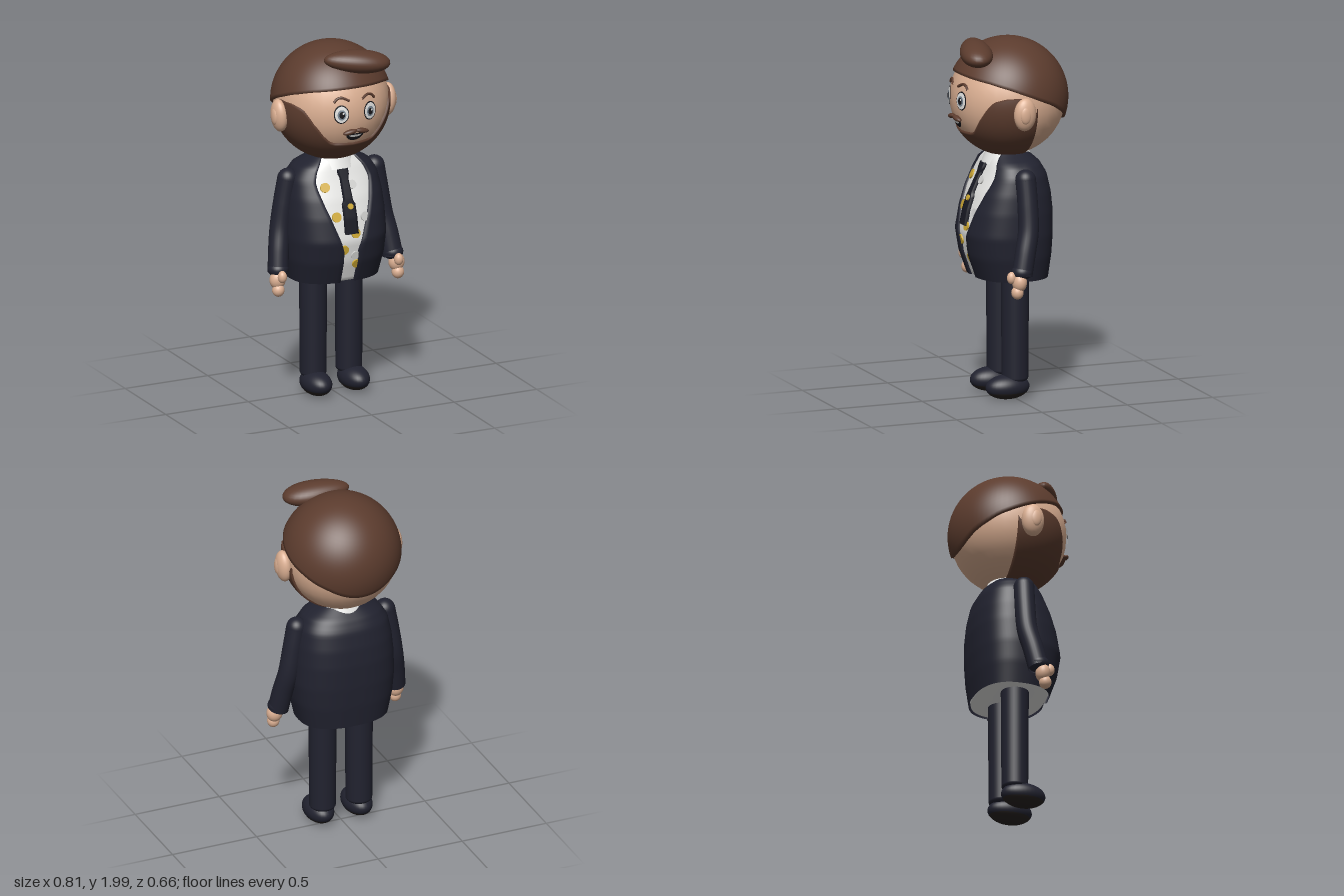
import * as THREE from 'three';
import { mergeVertices } from 'three/addons/utils/BufferGeometryUtils.js';

const paint = (name, color, side = THREE.FrontSide) => {
  const m = new THREE.MeshStandardMaterial({ color, side });
  m.name = name;
  return m;
};

// Linear look-up in a table of [key, value, value...] rows with rising keys
function lookUp(table, key) {
  let i = 1;
  while (i < table.length - 1 && key > table[i][0]) i++;
  const a = table[i - 1], b = table[i];
  const t = THREE.MathUtils.clamp((key - a[0]) / (b[0] - a[0]), 0, 1);
  return a.slice(1).map((v, k) => v + (b[k + 1] - v) * t);
}

// Surface from a function of row and column
function grid(rows, cols, fn) {
  const pos = [], index = [];
  for (let i = 0; i <= rows; i++) for (let j = 0; j <= cols; j++) pos.push(...fn(i, j));
  for (let i = 0; i < rows; i++) for (let j = 0; j < cols; j++) {
    const a = i * (cols + 1) + j, b = a + cols + 1;
    index.push(a, b, a + 1, b, b + 1, a + 1);
  }
  let g = new THREE.BufferGeometry();
  g.setAttribute('position', new THREE.Float32BufferAttribute(pos, 3));
  g.setIndex(index);
  g = mergeVertices(g, 1e-5);
  g.computeVertexNormals();
  return g;
}

// Torso sections: y, half width, front depth, back depth
const TORSO = [[0.675, 0.255, 0.205, 0.2], [0.8, 0.28, 0.25, 0.215], [0.92, 0.29, 0.27, 0.222],
  [1.05, 0.285, 0.245, 0.222], [1.15, 0.275, 0.212, 0.212], [1.25, 0.255, 0.165, 0.19],
  [1.31, 0.215, 0.14, 0.155], [1.36, 0.12, 0.115, 0.1]];
// Half width of the jacket opening by height
const OPENING = [[0.675, 0.042], [0.865, 0.045], [0.94, 0.07], [1.13, 0.14], [1.2, 0.16],
  [1.245, 0.165], [1.3, 0.145], [1.36, 0.1]];
const SQUARE = 0.8;
const power = (v, e) => Math.sign(v) * Math.abs(v) ** e;

function torsoPoint(y, phi, inset) {
  const [a, front, back] = lookUp(TORSO, y), c = Math.cos(phi);
  return [(a - inset) * power(Math.sin(phi), SQUARE), y, ((c > 0 ? front : back) - inset) * power(c, SQUARE)];
}
const angleAt = (x, y) => Math.asin(power(x / lookUp(TORSO, y)[0], 1 / SQUARE));

// Head sphere
const CY = 1.66;
const HAIRLINE = [[-1, 1.52], [-0.81, 1.58], [-0.47, 1.65], [-0.06, 1.71], [0.3, 1.756], [0.66, 1.79], [1, 1.81]];
const BEARDLINE = [[0, 1.485], [0.1, 1.49], [0.13, 1.5], [0.17, 1.54], [0.22, 1.61], [0.265, 1.69], [0.3, 1.71], [0.33, 1.71]];

export function createModel() {
  const root = new THREE.Group();
  const skin = paint('skin', 0xdcb093);
  const hair = paint('hair brown', 0x5c3c2e, THREE.DoubleSide);
  const suit = paint('suit navy', 0x21222f, THREE.DoubleSide);
  const shirt = paint('shirt white', 0xf0f0ee, THREE.DoubleSide);
  const tieCloth = paint('tie black', 0x191a24, THREE.DoubleSide);
  const gold = paint('gold', 0xd2ac35);
  const pale = paint('pale grey', 0xd6d6d4);
  const iris = paint('iris grey', 0x7d8b98);
  const dark = paint('dark', 0x17161a);
  const sole = paint('sole', 0x272220);

  const add = (name, geo, mat, parent = root) => {
    const m = new THREE.Mesh(geo, mat);
    m.name = name;
    parent.add(m);
    return m;
  };
  const ball = (name, mat, p, r, rot = [0, 0, 0]) => {
    const m = add(name, new THREE.SphereGeometry(1, 32, 20), mat);
    m.position.set(...p);
    m.scale.set(...r);
    m.rotation.set(...rot);
    return m;
  };

  // Head, hair cap and beard
  ball('head', skin, [0, CY, 0], [0.316, 0.318, 0.316]);
  add('hairCap', grid(25, 72, (i, j) => {
    const az = j / 72 * Math.PI * 2, R = i === 25 ? 0.312 : 0.331;
    const low = Math.acos((lookUp(HAIRLINE, Math.cos(az))[0] - CY) / 0.331);
    const th = low * Math.min(i, 24) / 24, s = R * Math.sin(th);
    return [s * Math.sin(az), CY + R * Math.cos(th), s * Math.cos(az)];
  }), hair);
  add('beard', grid(30, 64, (i, j) => {
    const R = 0.325, end = Math.asin(0.052 / R);
    const u = end + (Math.PI - 2 * end) * j / 64;
    const x = R * Math.cos(u), rho = R * Math.sin(u);
    const t0 = -Math.asin(0.05 / rho);
    const t1 = Math.acos(Math.max(-1, (CY - lookUp(BEARDLINE, Math.abs(x))[0]) / rho));
    const t = t0 + (t1 - t0) * THREE.MathUtils.clamp((i - 1) / 28, 0, 1);
    const k = i === 0 || i === 30 ? 0.95 : 1;
    return [x * k, CY - rho * k * Math.cos(t), rho * k * Math.sin(t)];
  }), hair);

  // Quiff, fuller on its left end
  const quiff = ball('quiff', hair, [0.055, 1.93, 0.21], [0.185, 0.063, 0.086], [0, -0.24, -0.1]);
  const qp = quiff.geometry.attributes.position;
  for (let i = 0; i < qp.count; i++) {
    const k = 1 + 0.22 * qp.getX(i);
    qp.setXYZ(i, qp.getX(i), qp.getY(i) * (1 + 0.08 * qp.getX(i)), qp.getZ(i) * k);
  }
  quiff.geometry.computeVertexNormals();

  // Thin patches laid on the face
  const facePatch = (name, mat, x, y, rx, ry, lift, start = 0, sweep = Math.PI * 2) => {
    const g = new THREE.RingGeometry(0, 1, 32, 4, start, sweep).scale(rx, ry, 1).translate(x, y, 0);
    const p = g.attributes.position;
    for (let i = 0; i < p.count; i++) {
      p.setZ(i, Math.sqrt((0.318 + lift) ** 2 - p.getX(i) ** 2 - (p.getY(i) - CY) ** 2));
    }
    g.computeVertexNormals();
    return add(name, g, mat);
  };
  const onHead = (x, y, r) => new THREE.Vector3(x, y, Math.sqrt(r * r - x * x - (y - CY) ** 2));

  for (const s of [-1, 1]) {
    const side = s > 0 ? 'left' : 'right';
    // Eyes and brows
    facePatch(side + 'EyeRim', dark, s * 0.086, 1.673, 0.041, 0.052, 0.002);
    facePatch(side + 'EyeWhite', shirt, s * 0.086, 1.673, 0.036, 0.046, 0.004);
    facePatch(side + 'Iris', iris, s * 0.086, 1.671, 0.023, 0.029, 0.006);
    facePatch(side + 'Pupil', dark, s * 0.086, 1.671, 0.015, 0.019, 0.008);
    facePatch(side + 'EyeGlint', shirt, s * 0.086 + 0.007, 1.68, 0.005, 0.006, 0.0095);
    const brow = new THREE.CatmullRomCurve3([[0.122, 1.738], [0.105, 1.757], [0.08, 1.764], [0.038, 1.745]]
      .map(([x, y]) => onHead(s * x, y, 0.319)));
    add(side + 'Brow', new THREE.TubeGeometry(brow, 16, 0.0075, 8), hair);
    ball(side + 'Moustache', hair, [s * 0.037, 1.568, 0.312], [0.041, 0.014, 0.018], [0, s * 0.12, -s * 0.2]);

    // Ears
    ball(side + 'Ear', skin, [s * 0.327, 1.623, 0.029], [0.044, 0.092, 0.063], [0, 0, -s * 0.06]);
    ball(side + 'InnerEar', skin, [s * 0.358, 1.625, 0.036], [0.017, 0.05, 0.032]);

    // Sleeve and cuff
    const path = new THREE.CatmullRomCurve3([[0.262, 1.245, 0], [0.285, 1.12, -0.002], [0.31, 0.97, 0.003],
      [0.332, 0.85, 0.03], [0.347, 0.735, 0.055]].map(([x, y, z]) => new THREE.Vector3(s * x, y, z)));
    add(side + 'Sleeve', new THREE.TubeGeometry(path, 32, 0.057, 24), suit);
    ball(side + 'Shoulder', suit, [s * 0.262, 1.245, 0], [0.057, 0.057, 0.057]);
    ball(side + 'Cuff', suit, [s * 0.347, 0.755, 0.055], [0.058, 0.045, 0.058]);

    // Hand
    ball(side + 'Palm', skin, [s * 0.36, 0.7, 0.075], [0.045, 0.052, 0.04]);
    ball(side + 'Fingers', skin, [s * 0.362, 0.645, 0.088], [0.034, 0.037, 0.034]);
    ball(side + 'Thumb', skin, [s * 0.352, 0.727, 0.118], [0.025, 0.034, 0.026]);

    // Trouser leg and shoe
    const leg = add(side + 'Leg', new THREE.CylinderGeometry(0.077, 0.073, 0.62, 32), suit);
    leg.position.set(s * 0.108, 0.43, 0);
    ball(side + 'Hem', suit, [s * 0.108, 0.12, 0], [0.073, 0.035, 0.073]);
    for (const [n, mat, a, b] of [['Shoe', suit, 0, 1.99], ['Sole', sole, 1.99, Math.PI - 1.99]]) {
      const m = add(side + n, new THREE.SphereGeometry(1, 32, 16, 0, Math.PI * 2, a, b), mat);
      m.position.set(s * 0.114, 0.068, 0.046);
      m.scale.set(0.079, 0.068, 0.125);
    }
  }

  // Mouth
  facePatch('mouth', dark, 0, 1.553, 0.053, 0.043, 0.003, Math.PI, Math.PI);
  facePatch('teeth', pale, 0, 1.546, 0.038, 0.014, 0.006, Math.PI, Math.PI);

  // Neck and collar
  const neck = add('neck', new THREE.CylinderGeometry(0.1, 0.1, 0.12, 32), skin);
  neck.position.y = 1.34;
  const collar = add('collar', new THREE.CylinderGeometry(0.113, 0.143, 0.07, 40, 1, true), shirt);
  collar.position.y = 1.335;

  // Shirt body, closed at the bottom
  add('shirt', grid(33, 64, (i, j) => {
    const y = 1.355 - (1.355 - 0.682) * Math.min(i, 32) / 32;
    const p = torsoPoint(y, j / 64 * Math.PI * 2, 0.012);
    return i === 33 ? [0, y, 0] : p;
  }), shirt);

  // Open jacket with turned-in front edges
  add('jacket', grid(40, 72, (i, j) => {
    const y = 1.36 - 0.685 * i / 40;
    const start = angleAt(lookUp(OPENING, y)[0], y);
    const t = THREE.MathUtils.clamp((j - 1) / 70, 0, 1);
    return torsoPoint(y, start + (2 * Math.PI - 2 * start) * t, j === 0 || j === 72 ? 0.014 : 0);
  }), suit);

  // Tie following the chest
  const TIE = [[0.965, 0.038], [1.125, 0.037], [1.14, 0.026], [1.262, 0.022], [1.268, 0.03], [1.305, 0.03]];
  add('tie', grid(34, 8, (i, j) => {
    const y = 1.305 - 0.34 * i / 34, v = THREE.MathUtils.clamp((j - 1) / 3 - 1, -1, 1);
    const x = lookUp(TIE, y)[0] * v;
    const p = torsoPoint(y, angleAt(x, y), 0);
    return [x, y, p[2] + (j === 0 || j === 8 ? -0.012 : 0.006)];
  }), tieCloth);

  // Round studs set flush on the chest
  const stud = (name, mat, x, y, r, inset) => {
    const at = (dx, dy) => new THREE.Vector3(...torsoPoint(y + dy, angleAt(x + dx, y + dy), inset));
    const n = at(0.01, 0).sub(at(-0.01, 0)).cross(at(0, 0.01).sub(at(0, -0.01))).normalize();
    const m = add(name, new THREE.CylinderGeometry(r, r, 0.009, 24), mat);
    m.position.copy(at(0, 0)).addScaledVector(n, 0.002);
    m.quaternion.setFromUnitVectors(new THREE.Vector3(0, 1, 0), n);
  };
  for (const [x, y] of [[-0.12, 1.215], [-0.08, 1.06], [0.028, 0.962], [-0.045, 0.875], [0.042, 0.785]]) {
    stud('goldDot', gold, x, y, 0.027, 0.011);
  }
  for (const [x, y] of [[0.045, 1.215], [0.095, 1.045], [0.028, 0.835]]) stud('paleDot', pale, x, y, 0.025, 0.011);
  stud('tiePin', gold, 0.004, 1.113, 0.016, -0.008);

  return root;
}
